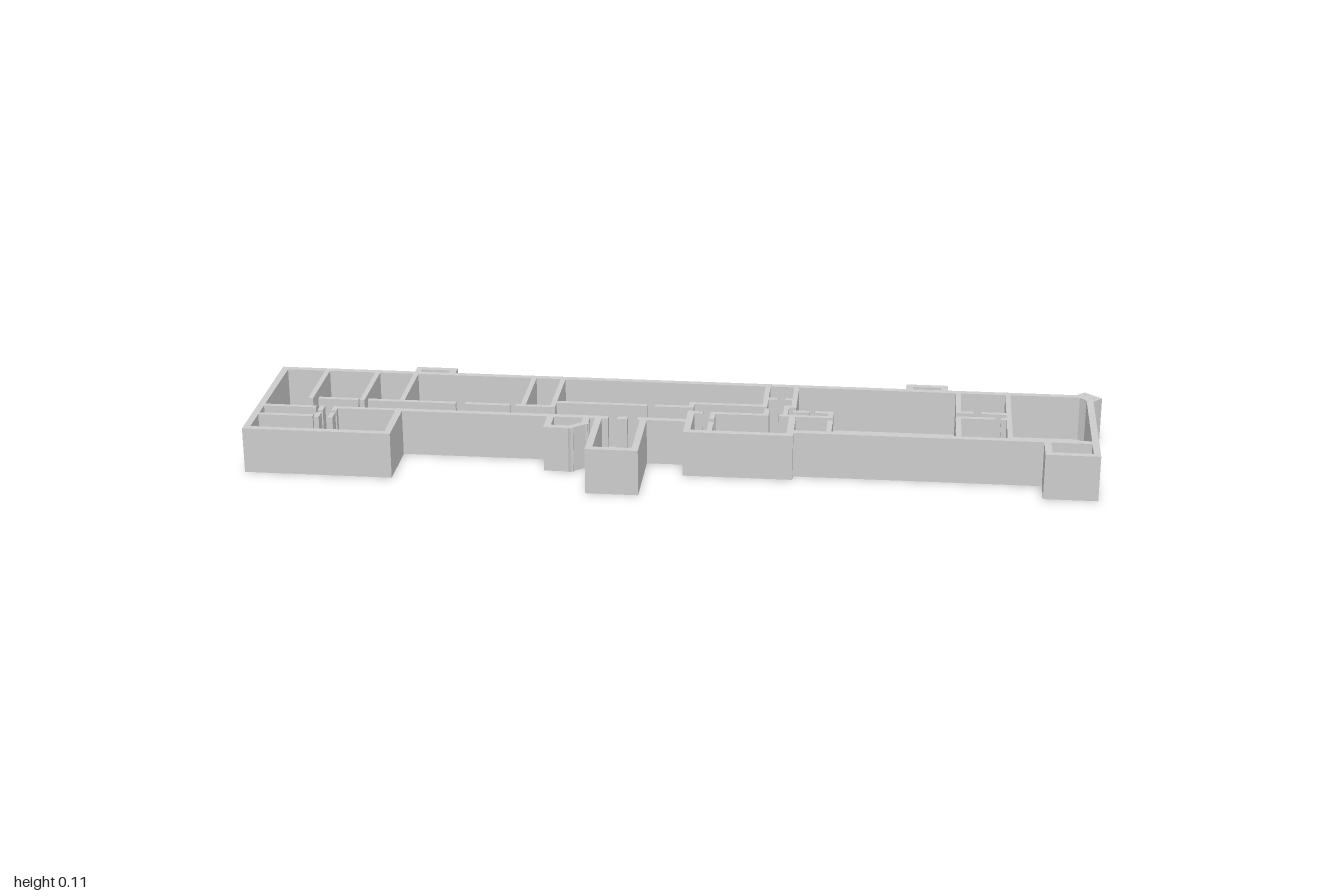
import * as THREE from 'three';

const H = 0.11;
const OUTER = 0.016;
const INNER = 0.012;

export function createModel() {
  const model = new THREE.Group();
  const material = new THREE.MeshStandardMaterial({ color: 0xcccccc, flatShading: true });
  const floorMaterial = new THREE.MeshStandardMaterial({ color: 0xcccccc, side: THREE.DoubleSide });

  // A straight wall along its centre line, lengthened at both ends to close corners.
  function wall(parent, name, x0, z0, x1, z1, t, extend = t / 2) {
    const length = Math.hypot(x1 - x0, z1 - z0) + 2 * extend;
    const mesh = new THREE.Mesh(new THREE.BoxGeometry(length, H, t), material);
    mesh.position.set((x0 + x1) / 2, H / 2, (z0 + z1) / 2);
    mesh.rotation.y = -Math.atan2(z1 - z0, x1 - x0);
    mesh.name = name;
    parent.add(mesh);
  }

  function wallGroup(name, segments, t) {
    const group = new THREE.Group();
    group.name = name;
    segments.forEach((s) => wall(group, name + 'Segment', ...s, t));
    model.add(group);
  }

  // Floor sheet following the whole footprint
  const footprint = [
    [-0.99, -0.2], [-0.66, -0.2], [-0.66, -0.23], [-0.58, -0.23], [-0.58, -0.2],
    [0.54, -0.2], [0.54, -0.23], [0.62, -0.23], [0.62, -0.2], [0.96, -0.2],
    [0.965, 0.155], [0.86, 0.155], [0.86, 0.08], [0.265, 0.08], [0.265, 0.1],
    [0.03, 0.1], [0.03, 0.04], [-0.08, 0.04], [-0.08, 0.225], [-0.185, 0.225],
    [-0.185, 0.04], [-0.21, 0.04], [-0.21, 0.08], [-0.24, 0.105], [-0.295, 0.105],
    [-0.295, 0.04], [-0.66, 0.04], [-0.66, 0.18], [-0.99, 0.18],
  ];
  const shape = new THREE.Shape(footprint.map(([x, z]) => new THREE.Vector2(x, -z)));
  const floor = new THREE.Mesh(new THREE.ShapeGeometry(shape), floorMaterial);
  floor.rotation.x = -Math.PI / 2;
  floor.position.y = 0.002;
  floor.name = 'floor';
  model.add(floor);

  // Outer shell of the long block and its wings
  wallGroup('outerWall', [
    [-0.992, -0.2, 0.967, -0.2],
    [-0.992, -0.2, -0.992, 0.182],
    [-0.992, 0.182, -0.66, 0.182],
    [-0.66, 0.182, -0.66, 0.04],
    [-0.66, 0.04, -0.17, 0.04],
    [-0.133, 0.04, -0.125, 0.04],
    [-0.085, 0.04, 0.028, 0.04],
    [0.028, -0.012, 0.028, 0.104],
    [0.028, 0.104, 0.267, 0.104],
    [0.267, 0.104, 0.267, -0.012],
    [0.267, 0.084, 0.967, 0.084],
    [0.967, 0.157, 0.967, -0.2],
  ], OUTER);

  // Front porch block
  wallGroup('frontPorch', [
    [-0.185, 0.04, -0.185, 0.226],
    [-0.185, 0.226, -0.079, 0.226],
    [-0.079, 0.226, -0.079, 0.04],
  ], OUTER);

  // Small annex with a cut corner
  wallGroup('annex', [
    [-0.298, 0.04, -0.298, 0.106],
    [-0.298, 0.106, -0.244, 0.106],
    [-0.244, 0.106, -0.213, 0.079],
    [-0.213, 0.079, -0.213, 0.04],
  ], OUTER);

  // Corner room at the front
  wallGroup('cornerRoom', [
    [0.858, 0.084, 0.858, 0.157],
    [0.858, 0.157, 0.967, 0.157],
  ], OUTER);

  // Two shallow shafts on the back wall
  for (const x of [-0.62, 0.58]) {
    wallGroup('backShaft', [
      [x - 0.042, -0.2, x - 0.042, -0.231],
      [x - 0.042, -0.231, x + 0.042, -0.231],
      [x + 0.042, -0.231, x + 0.042, -0.2],
    ], OUTER);
  }

  // Diagonal shaft at the back corner
  wallGroup('cornerShaft', [
    [0.941, -0.204, 0.957, -0.22],
    [0.957, -0.22, 0.988, -0.192],
    [0.988, -0.192, 0.970, -0.174],
    [0.970, -0.174, 0.941, -0.204],
  ], 0.012);

  // Cross walls running from the back wall: x, end z
  const crossWalls = [
    [-0.885, -0.016], [-0.76, -0.016], [-0.665, -0.016], [-0.373, -0.016],
    [-0.302, -0.016], [0.198, -0.067], [0.267, -0.08], [0.655, -0.072], [0.773, 0.08],
  ];
  wallGroup('crossWall', crossWalls.map(([x, z]) => [x, -0.2, x, z]), INNER);

  // Corridor walls with doorway gaps
  wallGroup('corridorWall', [
    [-0.86, -0.016, -0.775, -0.016],
    [-0.74, -0.016, -0.54, -0.016],
    [-0.505, -0.016, -0.41, -0.016],
    [-0.385, -0.016, -0.302, -0.016],
    [-0.302, -0.045, -0.085, -0.045],
    [-0.055, -0.045, 0.025, -0.045],
    [0.025, -0.045, 0.025, -0.068],
    [0.025, -0.068, 0.198, -0.068],
  ], INNER);

  // Small rooms in the middle
  wallGroup('middleRoomWall', [
    [0.198, -0.115, 0.222, -0.115],
    [0.25, -0.115, 0.267, -0.115],
    [0.028, -0.012, 0.05, -0.012],
    [0.08, -0.012, 0.205, -0.012],
    [0.24, -0.012, 0.267, -0.012],
    [0.08, -0.012, 0.08, 0.02],
    [0.08, 0.05, 0.08, 0.104],
    [0.205, -0.045, 0.205, -0.012],
    [0.25, -0.068, 0.25, -0.012],
    [0.25, -0.068, 0.267, -0.068],
    [0.273, -0.04, 0.3, -0.04],
    [0.325, -0.04, 0.356, -0.04],
    [0.356, -0.04, 0.356, -0.022],
    [0.356, 0.015, 0.356, 0.08],
    [0.273, -0.012, 0.356, -0.012],
  ], INNER);

  // Small rooms near the left end
  wallGroup('endRoomWall', [
    [0.655, -0.072, 0.685, -0.072],
    [0.715, -0.072, 0.773, -0.072],
    [0.655, -0.04, 0.655, 0.08],
    [0.655, -0.04, 0.735, -0.04],
    [0.76, -0.04, 0.773, -0.04],
  ], INNER);

  // Partitions in the right wing
  wallGroup('wingPartition', [
    [-0.99, 0.04, -0.865, 0.04],
    [-0.81, 0.04, -0.66, 0.04],
    [-0.99, 0.095, -0.86, 0.095],
    [-0.845, 0.04, -0.845, 0.055],
    [-0.845, 0.08, -0.845, 0.098],
    [-0.812, 0.04, -0.812, 0.055],
    [-0.812, 0.08, -0.812, 0.098],
  ], INNER);

  return model;
}
